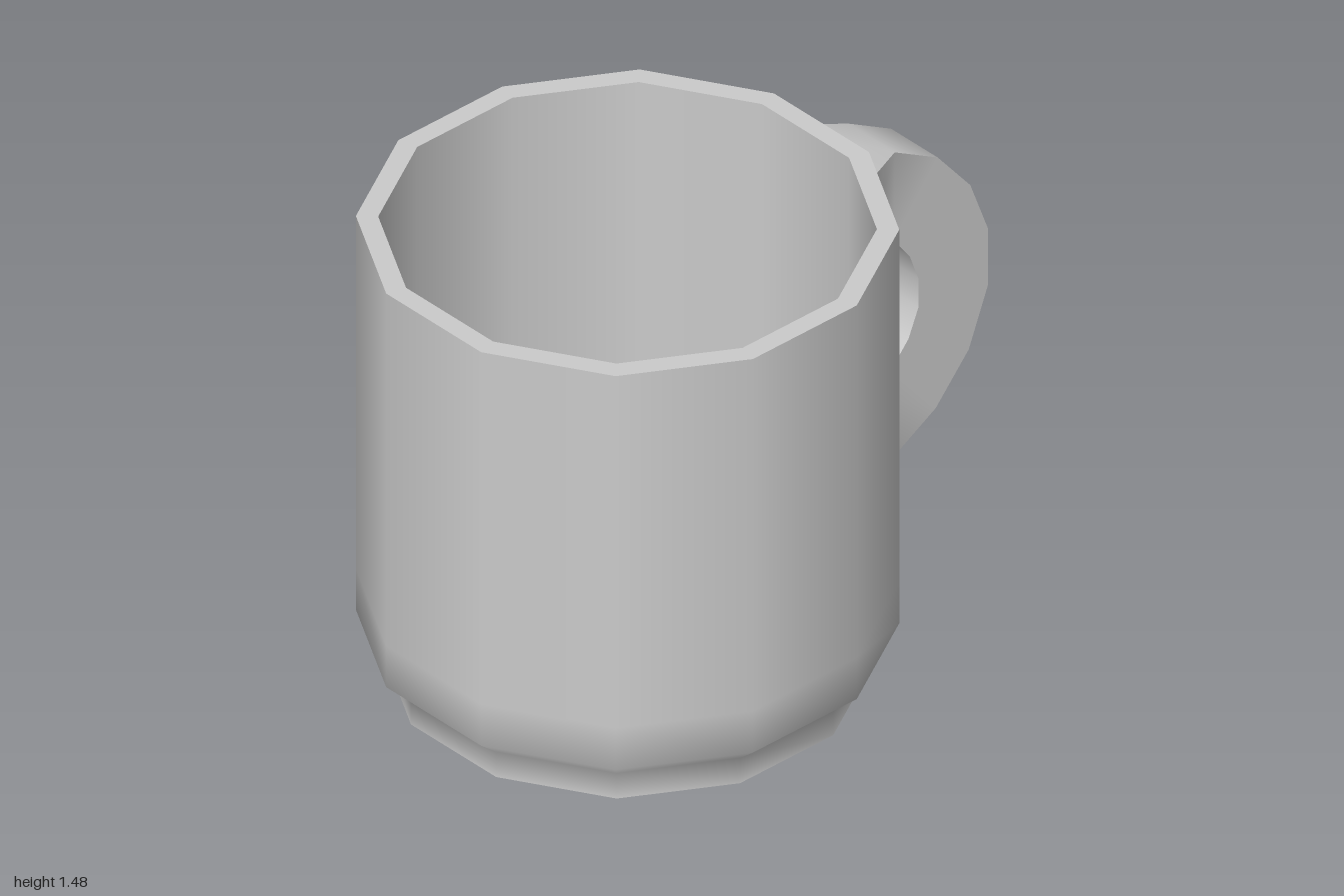
import * as THREE from 'three';

const SIDES = 12;
const CENTRE_X = -0.27;
const material = new THREE.MeshStandardMaterial({ color: 0xcccccc });

// Twelve-sided surface of revolution; profile points are [apothem, y]
function turned(name, profile) {
  const k = 1 / Math.cos(Math.PI / SIDES);
  const points = profile.map(([r, y]) => new THREE.Vector2(r * k, y));
  const mesh = new THREE.Mesh(new THREE.LatheGeometry(points, SIDES, Math.PI / SIDES), material);
  mesh.name = name;
  mesh.position.x = CENTRE_X;
  return mesh;
}

// Rectangular section swept along paired outer and inner outlines.
// Each side is its own strip: smooth along its length, sharp at its edges.
function handleGeometry(stations) {
  const positions = [], index = [];
  const rings = stations.map(([ox, oy, ix, iy, w]) => [
    [ox, oy, w], [ox, oy, -w], [ix, iy, -w], [ix, iy, w],
  ]);
  for (let side = 0; side < 4; side++) {
    const start = positions.length / 3;
    rings.forEach((ring, i) => {
      positions.push(...ring[side], ...ring[(side + 1) % 4]);
      if (i === 0) return;
      const a = start + (i - 1) * 2;
      index.push(a, a + 2, a + 1, a + 1, a + 2, a + 3);
    });
  }
  const geometry = new THREE.BufferGeometry();
  geometry.setAttribute('position', new THREE.Float32BufferAttribute(positions, 3));
  geometry.setIndex(index);
  geometry.computeVertexNormals();
  return geometry;
}

export function createModel() {
  const model = new THREE.Group();
  model.name = 'mug';

  // Body: separate surfaces keep the rim, floor and base edges sharp
  const body = new THREE.Group();
  body.name = 'body';
  body.add(
    turned('base', [[0, 0], [0.655, 0]]),
    turned('outerWall', [[0.655, 0], [0.655, 0.085], [0.73, 0.15], [0.73, 0.29], [0.73, 1.475]]),
    turned('rim', [[0.73, 1.475], [0.67, 1.475]]),
    turned('innerWall', [[0.67, 1.475], [0.67, 0.3], [0.67, 0.175], [0.595, 0.11], [0.595, 0.06]]),
    turned('floor', [[0.595, 0.06], [0, 0.06]]),
  );
  model.add(body);

  // Handle stations from top to bottom: outer x, y, inner x, y, half width
  const wide = 0.195, slim = 0.096;
  const handle = new THREE.Mesh(handleGeometry([
    [0.458, 1.37, 0.458, 1.107, wide],
    [0.648, 1.337, 0.555, 1.09, slim],
    [0.81, 1.245, 0.645, 1.04, slim],
    [0.933, 1.095, 0.705, 0.96, slim],
    [1.0, 0.917, 0.738, 0.87, slim],
    [1.0, 0.73, 0.738, 0.775, slim],
    [0.927, 0.545, 0.7, 0.685, slim],
    [0.803, 0.405, 0.635, 0.61, slim],
    [0.637, 0.31, 0.55, 0.563, slim],
    [0.458, 0.285, 0.458, 0.547, wide],
  ]), material);
  handle.name = 'handle';
  model.add(handle);

  return model;
}
